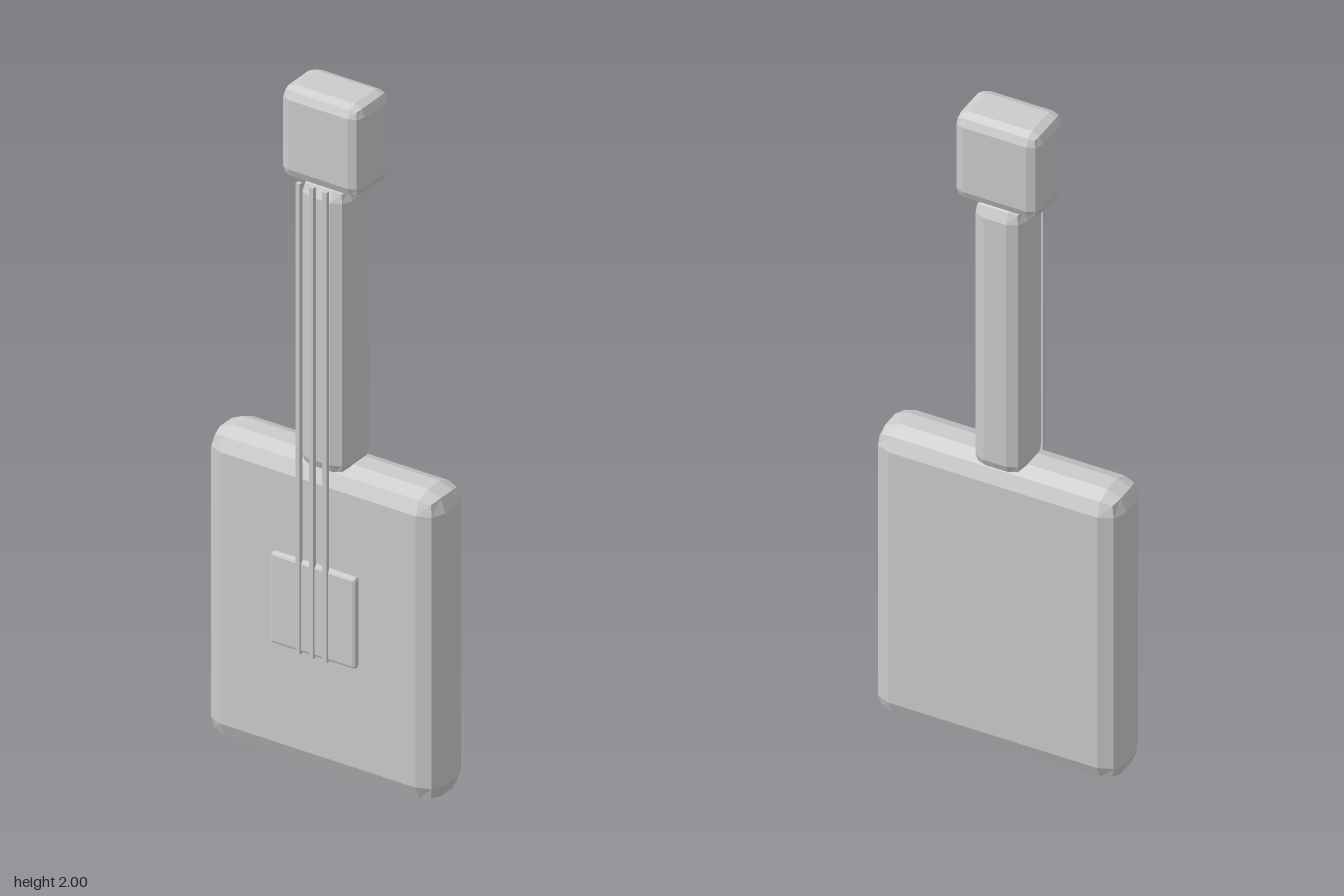
import * as THREE from 'three';
import { RoundedBoxGeometry } from 'three/addons/geometries/RoundedBoxGeometry.js';

export function createModel() {
  const model = new THREE.Group();
  model.name = 'guitar';
  const grey = new THREE.MeshStandardMaterial({ color: 0xcccccc, flatShading: true });
  grey.name = 'light grey';

  // Adds a block spanning the given ranges, with two-facet bevelled edges if a radius is given
  function block(name, [x0, x1], [y0, y1], [z0, z1], radius = 0) {
    const size = [x1 - x0, y1 - y0, z1 - z0];
    const geometry = radius
      ? new RoundedBoxGeometry(...size, 1, radius)
      : new THREE.BoxGeometry(...size);
    const mesh = new THREE.Mesh(geometry, grey);
    mesh.name = name;
    mesh.position.set((x0 + x1) / 2, (y0 + y1) / 2, (z0 + z1) / 2);
    model.add(mesh);
  }

  block('body', [-0.363, 0.363], [0, 0.915], [-0.1, 0.067], 0.056);
  block('neck', [-0.075, 0.075], [0.88, 1.74], [-0.09, 0.06], 0.042);
  block('headstock', [-0.125, 0.125], [1.73, 2], [-0.092, 0.067], 0.032);
  block('bridgePlate', [-0.134, 0.134], [0.36, 0.63], [0.069, 0.092], 0.009);

  // Three strings from the plate to the headstock
  [-0.042, 0, 0.042].forEach((x, i) =>
    block(`string${i + 1}`, [x - 0.0065, x + 0.0065], [0.358, 1.75], [0.086, 0.099]));

  return model;
}
